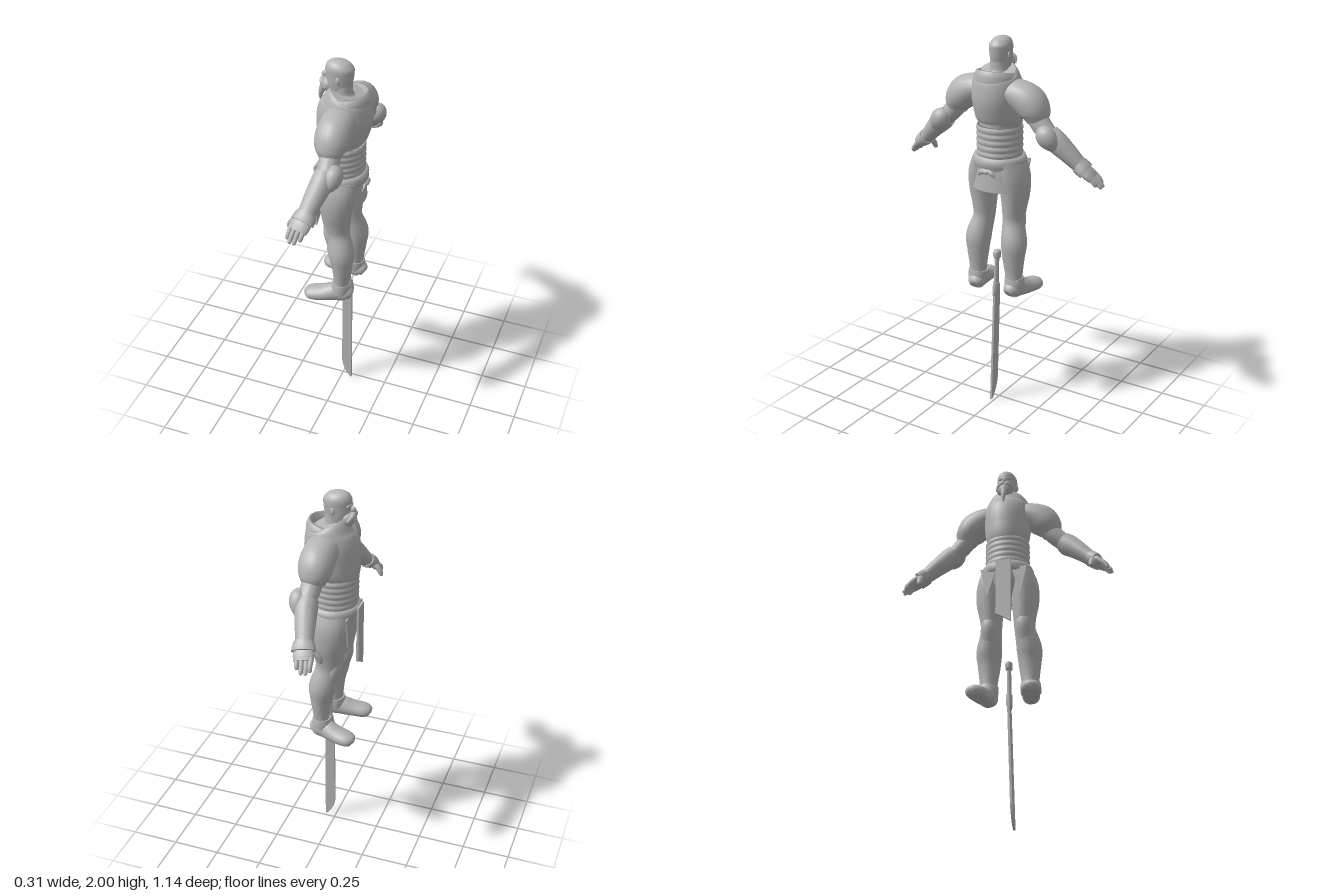
import * as THREE from 'three';

const grey = new THREE.MeshStandardMaterial({ color: 0xb4b4b4, side: THREE.DoubleSide });
grey.name = 'plain grey';

// Smooth tube through sections [x, y, z, radius along ref, radius across]
function loft(sections, { seg = 20, sub = 4, ref = [1, 0, 0] } = {}) {
  const centres = new THREE.CatmullRomCurve3(sections.map(s => new THREE.Vector3(s[0], s[1], s[2])), false, 'catmullrom');
  const radii = new THREE.CatmullRomCurve3(sections.map(s => new THREE.Vector3(s[3], s[4], 0)), false, 'catmullrom');
  const n = (sections.length - 1) * sub;
  const pos = [], index = [];
  for (let i = 0; i <= n; i++) {
    const c = centres.getPoint(i / n), r = radii.getPoint(i / n), t = centres.getTangent(i / n);
    const u = new THREE.Vector3(...ref);
    u.addScaledVector(t, -u.dot(t)).normalize();
    const v = new THREE.Vector3().crossVectors(t, u);
    for (let j = 0; j < seg; j++) {
      const a = j / seg * Math.PI * 2;
      const p = c.clone().addScaledVector(u, Math.cos(a) * r.x).addScaledVector(v, Math.sin(a) * r.y);
      pos.push(p.x, p.y, p.z);
      const k = (j + 1) % seg, q = i * seg;
      if (i < n) index.push(q + j, q + k, q + seg + j, q + k, q + seg + k, q + seg + j);
    }
  }
  // End caps with their own vertices, to keep the rim crisp
  for (const end of [0, n]) {
    const base = pos.length / 3, c = centres.getPoint(end / n);
    for (let j = 0; j < seg * 3; j++) pos.push(pos[end * seg * 3 + j]);
    pos.push(c.x, c.y, c.z);
    for (let j = 0; j < seg; j++) {
      const k = (j + 1) % seg;
      index.push(base + seg, base + (end ? j : k), base + (end ? k : j));
    }
  }
  const g = new THREE.BufferGeometry();
  g.setAttribute('position', new THREE.Float32BufferAttribute(pos, 3));
  g.setIndex(index);
  g.computeVertexNormals();
  return g;
}

const ball = (x, y, z, rx, ry, rz) => new THREE.SphereGeometry(1, 18, 12).scale(rx, ry, rz).translate(x, y, z);

// Flat panel drawn in z and y, facing along x
function panel(points, x, depth) {
  const shape = new THREE.Shape(points.map(([z, y]) => new THREE.Vector2(-z, y)));
  return new THREE.ExtrudeGeometry(shape, { depth, bevelEnabled: false }).rotateY(Math.PI / 2).translate(x, 0, 0);
}

export function createModel() {
  const model = new THREE.Group();
  const add = (name, geometry) => {
    const mesh = new THREE.Mesh(geometry, grey);
    mesh.name = name;
    model.add(mesh);
  };

  // Head, facing -x
  add('head', loft([[-0.02, 1.83, 0, 0.05, 0.042], [-0.022, 1.88, 0, 0.066, 0.05], [-0.018, 1.93, 0, 0.07, 0.054],
    [-0.018, 1.965, 0, 0.07, 0.053], [-0.016, 1.99, 0, 0.048, 0.036], [-0.015, 2, 0, 0.012, 0.01]]));
  add('neck', loft([[0.01, 1.78, 0, 0.065, 0.065], [-0.005, 1.83, 0, 0.053, 0.05], [-0.005, 1.89, 0, 0.05, 0.045]]));
  add('brow', ball(-0.075, 1.936, 0, 0.018, 0.012, 0.036));
  add('nose', ball(-0.095, 1.912, 0, 0.016, 0.018, 0.011));
  add('beard', ball(-0.07, 1.868, 0, 0.043, 0.042, 0.046));
  add('beardBraid', loft([[-0.095, 1.86, 0, 0.022, 0.02], [-0.115, 1.81, 0, 0.014, 0.013], [-0.12, 1.77, 0, 0.004, 0.004]], { seg: 10 }));

  // Torso armour and high collar
  add('chestArmour', loft([[-0.005, 1.55, 0, 0.108, 0.1], [-0.01, 1.59, 0, 0.122, 0.116], [0, 1.65, 0, 0.135, 0.124],
    [0.01, 1.72, 0, 0.139, 0.13], [0.018, 1.78, 0, 0.126, 0.125], [0.02, 1.82, 0, 0.105, 0.112], [0.025, 1.835, 0, 0.085, 0.09]], { seg: 28 }));
  const collar = new THREE.LatheGeometry([[0.112, 1.79], [0.112, 1.82], [0.1, 1.848], [0.088, 1.85], [0.078, 1.81]]
    .map(p => new THREE.Vector2(...p)), 28);
  const cp = collar.attributes.position;
  for (let i = 0; i < cp.count; i++) cp.setY(i, cp.getY(i) + (cp.getX(i) - 0.08) * 0.17);
  collar.translate(0.025, 0, 0).computeVertexNormals();
  add('collar', collar);

  // Ridged waist
  const ridges = [];
  for (let i = 0; i <= 40; i++) {
    ridges.push(new THREE.Vector2(0.114 + 0.005 * Math.abs(Math.sin(i / 40 * Math.PI * 6)), 1.37 + 0.19 * i / 40));
  }
  add('ridgedWaist', new THREE.LatheGeometry(ridges, 32).translate(-0.006, 0, 0));

  // Belt, hips and hanging cloth
  add('hips', loft([[0, 1.22, 0, 0.05, 0.05], [0, 1.27, 0, 0.09, 0.12], [0, 1.36, 0, 0.115, 0.134], [0, 1.4, 0, 0.12, 0.125]]));
  add('belt', new THREE.LatheGeometry([[0.125, 1.35], [0.14, 1.355], [0.141, 1.385], [0.132, 1.405], [0.118, 1.405]]
    .map(p => new THREE.Vector2(...p)), 32).scale(0.94, 1, 1).translate(-0.005, 0, 0));
  add('backFlap', new THREE.CylinderGeometry(0.135, 0.15, 0.15, 24, 1, true, Math.PI * 0.1, Math.PI * 0.8)
    .scale(0.78, 1, 1).translate(0, 1.305, 0));
  add('frontStrip', panel([[-0.035, 1.4], [0.045, 1.4], [0.045, 1.04], [0, 1.07], [-0.035, 1.09]], -0.142, 0.012));
  add('beltKnot', ball(0.122, 1.34, 0, 0.016, 0.014, 0.025));

  for (const s of [1, -1]) {
    const side = s > 0 ? 'left' : 'right';
    const at = list => list.map(([x, y, z, ...r]) => [x, y, z * s, ...r]);
    const limb = (name, list, opt) => add(side + name, loft(at(list), opt));

    // Face and cloth details on each side
    limb('Moustache', [[-0.1, 1.896, 0, 0.012, 0.012], [-0.098, 1.885, 0.025, 0.014, 0.013], [-0.08, 1.86, 0.046, 0.005, 0.005]], { seg: 10 });
    add(side + 'Ear', ball(-0.01, 1.912, 0.053 * s, 0.013, 0.02, 0.007));
    add(side + 'FrontCloth', panel([[0.04 * s, 1.37], [0.125 * s, 1.37], [0.09 * s, 1.2]], -0.108, 0.008));
    limb('BeltTail', [[0.12, 1.345, 0, 0.008, 0.012], [0.125, 1.335, 0.03, 0.008, 0.014], [0.12, 1.315, 0.05, 0.004, 0.006]], { seg: 8 });

    // Leg with knee and calf bulge
    limb('Leg', [[0, 1.38, 0.08, 0.1, 0.055], [-0.003, 1.3, 0.092, 0.098, 0.073], [-0.004, 1.21, 0.094, 0.085, 0.073],
      [-0.002, 1.12, 0.09, 0.072, 0.06], [0.004, 1.05, 0.09, 0.064, 0.055], [0.028, 0.95, 0.107, 0.069, 0.067],
      [0.034, 0.87, 0.108, 0.055, 0.06], [0.032, 0.77, 0.11, 0.042, 0.047], [0.03, 0.7, 0.112, 0.045, 0.046]]);
    limb('KneeGuard', [[-0.03, 1.12, 0.09, 0.035, 0.035], [-0.03, 1.06, 0.092, 0.041, 0.046], [-0.005, 0.98, 0.1, 0.04, 0.045]]);
    limb('BootCuff', [[0.03, 0.755, 0.11, 0.047, 0.052], [0.029, 0.73, 0.112, 0.051, 0.054], [0.028, 0.7, 0.114, 0.051, 0.053]]);

    // Boot: a lofted upper flattened onto its sole
    const boot = loft(at([[0.08, 0.675, 0.105, 0.02, 0.025], [0.06, 0.69, 0.108, 0.045, 0.044], [0.01, 0.695, 0.117, 0.052, 0.047],
      [-0.06, 0.68, 0.132, 0.042, 0.052], [-0.12, 0.673, 0.143, 0.036, 0.051], [-0.15, 0.67, 0.147, 0.026, 0.036],
      [-0.16, 0.667, 0.148, 0.008, 0.01]]), { ref: [0, 1, 0] });
    const bp = boot.attributes.position;
    for (let i = 0; i < bp.count; i++) bp.setY(i, Math.max(0.648, bp.getY(i)));
    boot.computeVertexNormals();
    add(side + 'Boot', boot);

    // Shoulder plate, upper arm, elbow guard and bracer
    limb('ShoulderPlate', [[0.022, 1.745, 0.08, 0.08, 0.06], [0.02, 1.735, 0.125, 0.085, 0.074], [0.02, 1.705, 0.185, 0.087, 0.084],
      [0.02, 1.66, 0.222, 0.08, 0.074], [0.022, 1.615, 0.238, 0.058, 0.052]]);
    limb('UpperArm', [[0.02, 1.7, 0.19, 0.055, 0.055], [0.025, 1.61, 0.25, 0.052, 0.05], [0.03, 1.55, 0.31, 0.045, 0.045]]);
    limb('ElbowGuard', [[0.06, 1.6, 0.28, 0.02, 0.025], [0.068, 1.575, 0.297, 0.042, 0.047], [0.066, 1.545, 0.32, 0.044, 0.05],
      [0.055, 1.515, 0.345, 0.03, 0.035], [0.045, 1.5, 0.36, 0.01, 0.012]]);
    limb('Bracer', [[0.022, 1.56, 0.3, 0.05, 0.052], [0.02, 1.53, 0.335, 0.055, 0.057], [0.005, 1.48, 0.39, 0.051, 0.048],
      [-0.012, 1.425, 0.445, 0.044, 0.039], [-0.014, 1.415, 0.457, 0.046, 0.04]]);

    // Glove: cuff, palm, four fingers and thumb
    limb('GloveCuff', [[-0.012, 1.42, 0.45, 0.05, 0.042], [-0.018, 1.402, 0.472, 0.058, 0.04], [-0.022, 1.39, 0.486, 0.06, 0.036]]);
    limb('Palm', [[-0.018, 1.405, 0.462, 0.042, 0.03], [-0.026, 1.38, 0.495, 0.052, 0.026], [-0.034, 1.358, 0.52, 0.048, 0.019]]);
    [[-0.068, 1.32, 0.545], [-0.052, 1.312, 0.559], [-0.029, 1.31, 0.56], [-0.004, 1.322, 0.546]].forEach(([x, y, z], i) => {
      const x0 = -0.068 + i * 0.023;
      limb('Finger' + (i + 1), [[x0, 1.375, 0.502, 0.013, 0.015], [(x0 + x) / 2 - 0.004, 1.346, 0.534, 0.012, 0.013],
        [x - 0.006, y + 0.005, z, 0.01, 0.01], [x - 0.007, y, z + 0.003, 0.003, 0.003]], { seg: 10 });
    });
    limb('Thumb', [[-0.05, 1.395, 0.468, 0.016, 0.018], [-0.085, 1.365, 0.465, 0.015, 0.016], [-0.1, 1.335, 0.462, 0.011, 0.012],
      [-0.102, 1.328, 0.461, 0.003, 0.003]], { seg: 10 });
  }

  // Sword hanging point-down below the figure
  add('swordGrip', loft([[0.028, 0.65, 0, 0.019, 0.014], [0.026, 0.75, 0, 0.016, 0.012], [0.022, 0.84, 0, 0.015, 0.011]], { seg: 12 }));
  add('swordPommel', loft([[0.022, 0.835, 0, 0.018, 0.014], [0.021, 0.845, 0, 0.024, 0.019], [0.02, 0.87, 0, 0.024, 0.019],
    [0.02, 0.88, 0, 0.016, 0.013]], { seg: 12 }));
  add('swordGuard', loft([[0.03, 0.63, 0.001, 0.031, 0.011], [0.03, 0.65, 0, 0.03, 0.016], [0.029, 0.7, 0, 0.022, 0.016]], { seg: 12 }));
  const blade = new THREE.Shape();
  blade.moveTo(0, 0.66);
  blade.lineTo(0.05, 0.66);
  blade.lineTo(0.057, 0);
  blade.quadraticCurveTo(0.012, 0.03, 0, 0.12);
  blade.closePath();
  const bladeGeometry = new THREE.ExtrudeGeometry(blade, { depth: 0.012, bevelEnabled: false }).translate(0, 0, -0.006);
  const zp = bladeGeometry.attributes.position;
  for (let i = 0; i < zp.count; i++) zp.setZ(i, zp.getZ(i) + (0.66 - zp.getY(i)) * 0.028);
  bladeGeometry.computeVertexNormals();
  add('swordBlade', bladeGeometry);

  return model;
}
